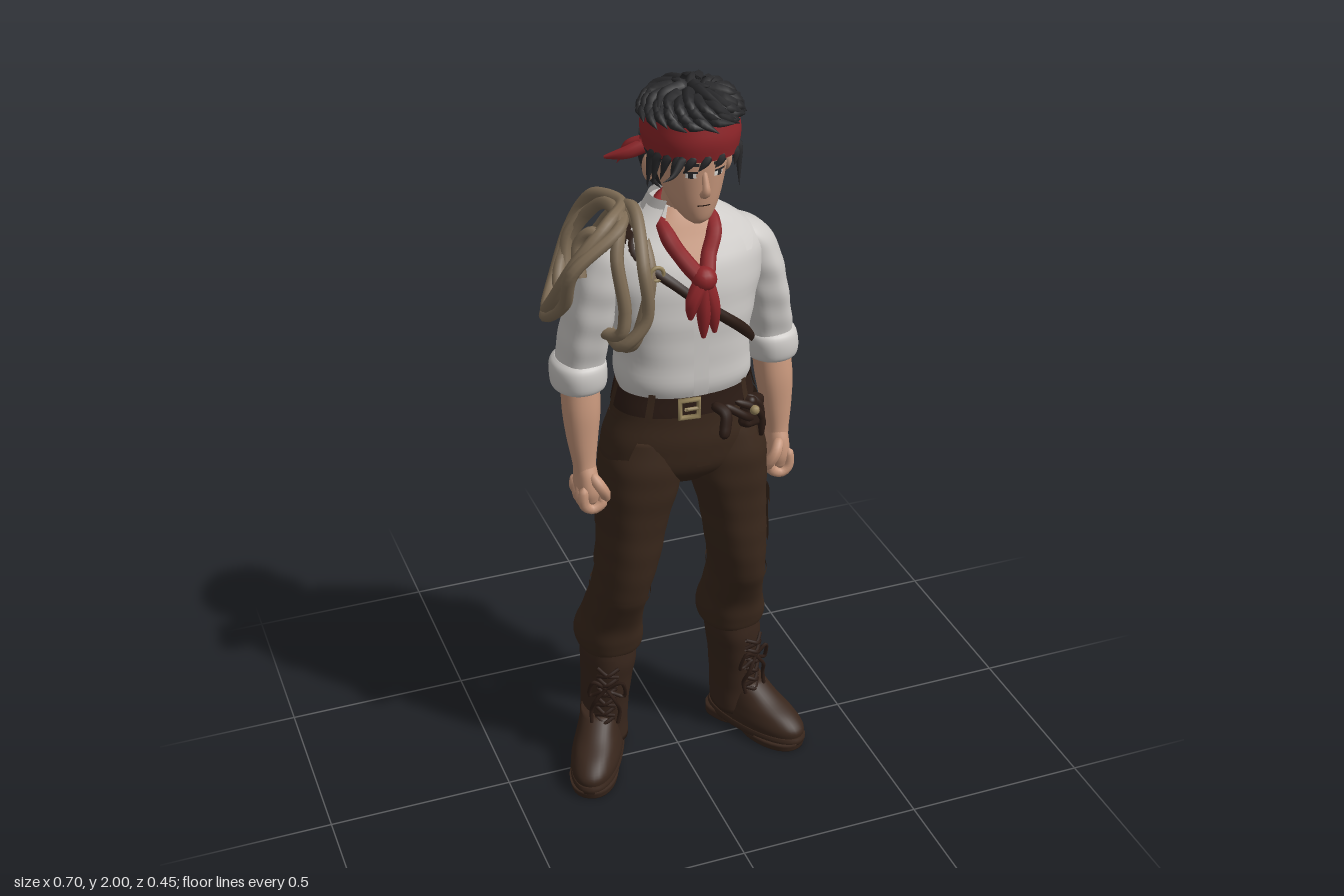
import * as THREE from 'three';
import { mergeVertices } from 'three/addons/utils/BufferGeometryUtils.js';
import { RoundedBoxGeometry } from 'three/addons/geometries/RoundedBoxGeometry.js';

const V = (x, y, z) => new THREE.Vector3(x, y, z);
const PI = Math.PI;
const mat = (name, color) => {
  const m = new THREE.MeshStandardMaterial({ color, side: THREE.DoubleSide });
  m.name = name;
  return m;
};
const spline = (pts, closed = false) => new THREE.CatmullRomCurve3(pts, closed, 'catmullrom');

function smooth(g) {
  g.deleteAttribute('uv');
  g.deleteAttribute('normal');
  g = mergeVertices(g, 1e-5);
  g.computeVertexNormals();
  return g;
}

// Smooth grid from f(u, v), u running to the right and v upwards
function grid(nu, nv, f) {
  const pos = [], idx = [];
  for (let j = 0; j <= nv; j++) for (let i = 0; i <= nu; i++) pos.push(...f(i / nu, j / nv).toArray());
  for (let j = 0; j < nv; j++) for (let i = 0; i < nu; i++) {
    const a = j * (nu + 1) + i, d = a + nu + 1;
    idx.push(a, a + 1, d, a + 1, d + 1, d);
  }
  const g = new THREE.BufferGeometry();
  g.setAttribute('position', new THREE.Float32BufferAttribute(pos, 3));
  g.setIndex(idx);
  return smooth(g);
}

// Body surface through rows [x, y, z, rx, rz], bottom to top; angle 0 = front, PI/2 = left
function surface(rows, fold = 0, e = 0.9) {
  const P = spline(rows.map(r => V(r[0], r[1], r[2]))), R = spline(rows.map(r => V(r[3], r[4], 0)));
  const pw = v => Math.sign(v) * Math.abs(v) ** e;
  const point = (t, a, lift = 0) => {
    const p = P.getPoint(t), r = R.getPoint(t);
    const k = 1 + fold * Math.sin(3 * a + p.y * 45) * Math.sin(2 * a - p.y * 31);
    return V(p.x + (r.x * k + lift) * pw(Math.sin(a)), p.y, p.z + (r.y * k + lift) * pw(Math.cos(a)));
  };
  const at = (y, a, lift = 0) => {
    let lo = 0, hi = 1;
    for (let i = 0; i < 22; i++) { const m = (lo + hi) / 2; if (P.getPoint(m).y < y) lo = m; else hi = m; }
    return point(lo, a, lift);
  };
  // Closed, capped solid
  const solid = (nu = 36, nv = 32) => grid(nu, nv + 2, (u, v) => {
    const j = Math.round(v * (nv + 2));
    if (j === 0) return P.getPoint(0);
    if (j === nv + 2) return P.getPoint(1);
    return point((j - 1) / nv, u >= 1 ? 0 : u * 2 * PI);
  });
  // Panel lying on the surface; angles may be functions of v
  const val = (f, v) => typeof f === 'function' ? f(v) : f;
  const panel = (y0, y1, a0, a1, lift, nu = 16, nv = 10) => grid(nu, nv, (u, v) =>
    at(y0 + (y1 - y0) * v, val(a0, v) + (val(a1, v) - val(a0, v)) * u, lift));
  return { at, solid, panel };
}

// Tube along points; taper(t) scales the radius
function tube(pts, r, { closed = false, taper = null, seg = 24, sides = 8 } = {}) {
  const path = spline(pts.map(p => Array.isArray(p) ? V(...p) : p), closed);
  const g = new THREE.TubeGeometry(path, seg, r, sides, closed);
  if (!taper) return g;
  const p = g.attributes.position, v = V(0, 0, 0);
  for (let i = 0; i < p.count; i++) {
    const t = Math.floor(i / (sides + 1)) / seg, c = path.getPointAt(t);
    v.fromBufferAttribute(p, i).sub(c).multiplyScalar(taper(t)).add(c);
    p.setXYZ(i, v.x, v.y, v.z);
  }
  return smooth(g);
}
const pointed = t => Math.max(0.01, 1 - t ** 1.6);
const round = t => Math.max(0.02, Math.sqrt(1 - Math.abs(2 * t - 1) ** 6));

export function createModel() {
  const M = {
    skin: mat('skin', 0xc6967b), shirt: mat('shirt cloth', 0xcdcac7), trousers: mat('trouser cloth', 0x3a281c),
    boot: mat('boot leather', 0x38261c), leather: mat('dark leather', 0x2c1c15), red: mat('red cloth', 0x8e2529),
    hair: mat('hair', 0x28282a), rope: mat('rope', 0x7f6d56), metal: mat('brass', 0x94825a), white: mat('eye white', 0xdedad4),
  };
  const model = new THREE.Group();
  const add = (name, geo, m, parent = model) => {
    const o = new THREE.Mesh(geo, m);
    o.name = name;
    parent.add(o);
    return o;
  };
  let seed = 7;
  const rnd = () => (seed = (seed * 16807) % 2147483647) / 2147483647;

  // Shirt body, open neck and collar
  const torso = surface([[0, 1.185, .03, .16, .113], [0, 1.235, .03, .176, .128], [0, 1.32, .027, .172, .13], [0, 1.42, .022, .19, .135],
    [0, 1.52, .014, .212, .13], [0, 1.58, .004, .205, .112], [0, 1.625, 0, .155, .093], [0, 1.66, 0, .1, .075], [0, 1.685, 0, .07, .06]], .012, .86);
  add('shirt', torso.solid(56, 44), M.shirt);
  add('chest', torso.panel(1.53, 1.684, v => -.02 - .6 * v, v => .04 + .6 * v, .003), M.skin);
  add('placket', torso.panel(1.2, 1.5, -.07, .09, .004), M.shirt);
  for (const s of [-1, 1]) add('collarFlap', torso.panel(1.565, 1.69, v => s * (.6 + .1 * v), v => s * (.7 + .8 * v), .012), M.shirt);
  const collar = surface([[0, 1.63, -.005, .118, .085], [0, 1.665, .002, .094, .073], [0, 1.705, .012, .076, .066]]);
  add('collar', collar.panel(1.632, 1.704, .7, 2 * PI - .7, 0, 30), M.shirt);
  add('neck', surface([[0, 1.6, 0, .055, .055], [.002, 1.66, .015, .051, .053], [.004, 1.74, .04, .05, .055]]).solid(), M.skin);

  // Neckerchief
  const knot = torso.at(1.53, .02, .018);
  add('neckerchief', tube([[0, 1.68, -.035], [.056, 1.665, .01], [.06, 1.625, .085], [.034, 1.575, .12], knot, [-.034, 1.575, .12],
    [-.06, 1.625, .085], [-.056, 1.665, .01]], .021, { closed: true, seg: 60 }), M.red);
  add('neckerchiefKnot', new THREE.SphereGeometry(.032, 14, 10), M.red).position.copy(knot);
  for (const [x, y] of [[-.03, 1.43], [.034, 1.385], [.005, 1.375]])
    add('neckerchiefTail', tube([knot, [x * .8, (y + 1.53) / 2, .168], [x, y, .166]], .022, { taper: t => 1 - .75 * t ** 3 }), M.red);

  // Shoulder strap running round the body
  const strap = [[-1, 1.625], [-.3, 1.53], [.25, 1.42], [1.1, 1.32], [1.7, 1.3], [2.2, 1.35], [2.9, 1.47], [3.6, 1.575], [4.4, 1.637], [2 * PI - 1, 1.625]];
  const strapPath = spline(strap.map(([a, y]) => V(a, y, 0)));
  add('shoulderStrap', grid(90, 4, (u, v) => {
    const p = strapPath.getPoint(u);
    return torso.at(p.y + (v - .5) * .034, p.x, .006 + .008 * Math.sin(v * PI));
  }), M.leather);
  const ring = add('strapRing', new THREE.TorusGeometry(.017, .005, 8, 16), M.metal);
  ring.position.copy(torso.at(1.55, -.42, .014));

  // Rope coils over the right shoulder
  const coilA = [[-.13, 1.665, -.05], [-.165, 1.645, -.17], [-.21, 1.55, -.215], [-.27, 1.43, -.175], [-.32, 1.4, -.08], [-.325, 1.46, 0], [-.285, 1.57, .055], [-.2, 1.655, .045]];
  const coilB = [[-.125, 1.66, 0], [-.115, 1.56, .115], [-.14, 1.43, .13], [-.17, 1.35, .1], [-.19, 1.36, -.05], [-.18, 1.48, -.15], [-.15, 1.61, -.1]];
  const coilC = [[-.16, 1.66, .02], [-.19, 1.58, .09], [-.18, 1.45, .115], [-.2, 1.38, .09], [-.27, 1.4, -.1], [-.23, 1.5, -.2], [-.16, 1.63, -.14]];
  const shift = (c, x, y, z) => c.map((p, i) => [p[0] + x * (i % 2 ? 1 : -.4), p[1] + y, p[2] + z]);
  for (const c of [coilA, shift(coilA, .022, -.012, .016), coilB, shift(coilB, -.02, .01, .01), coilC])
    add('ropeCoil', tube(c, .0165, { closed: true, seg: 80 }), M.rope);
  add('ropeWrap', tube([[-.2, 1.61, .07], [-.235, 1.64, .04], [-.265, 1.6, .02], [-.27, 1.53, .05]], .016), M.rope);

  // Head and face
  const head = surface([[.004, 1.667, .125, .014, .012], [.005, 1.682, .108, .036, .044], [.005, 1.72, .086, .06, .075], [.006, 1.77, .068, .077, .098],
    [.007, 1.83, .06, .088, .11], [.007, 1.9, .06, .095, .112], [.007, 1.95, .06, .07, .08]], 0, .95);
  add('head', head.solid(40, 36), M.skin);
  add('nose', tube([[.005, 1.82, .158], [.005, 1.785, .172], [.005, 1.762, .177], [.005, 1.752, .16]], .0125, { taper: t => .45 + .55 * t }), M.skin);
  add('mouth', head.panel(1.722, 1.725, -.24, .24, .002, 10, 2), M.leather);
  for (const s of [-1, 1]) {
    const eyeLine = v => .012 * Math.sin(v * PI);
    add('eye', head.panel(1.797, 1.811, v => s * .25 - eyeLine(v), v => s * .56 + eyeLine(v), .002, 8, 4), M.white);
    add('iris', head.panel(1.797, 1.812, s * .34, s * .48, .004, 6, 4), M.hair);
    add('upperLid', head.panel(1.81, 1.815, s * .22, s * .6, .005, 8, 2), M.hair);
    add('brow', head.panel(1.828, 1.836, s * .18, s * .66, .005, 8, 2), M.hair);
    const ear = add('ear', new THREE.SphereGeometry(1, 12, 10), M.skin);
    ear.scale.set(.014, .034, .022);
    ear.position.set(.007 + s * .1, 1.79, .045);
  }

  // Headband with its knotted tails
  const band = surface([[.008, 1.84, .062, .11, .12], [.008, 1.885, .061, .117, .129], [.008, 1.93, .06, .112, .124]]);
  add('headband', band.panel(1.841, 1.929, 0, 2 * PI, 0, 48, 8), M.red);
  add('headbandTail', tube([[-.1, 1.84, .03], [-.14, 1.825, .022], [-.188, 1.812, 0]], .019, { taper: t => 1 - .8 * t * t }), M.red);
  add('headbandTail', tube([[-.1, 1.85, .025], [-.13, 1.835, .005], [-.155, 1.79, -.005]], .016, { taper: pointed }), M.red);

  // Hair: domed crown with swept locks, nape and fringe
  const crown = surface([[.01, 1.9, .058, .106, .118], [.011, 1.925, .057, .106, .117], [.013, 1.95, .054, .092, .102], [.015, 1.97, .05, .066, .074],
    [.016, 1.982, .046, .036, .04], [.016, 1.985, .045, .008, .008]], .02, 1);
  add('crownHair', crown.solid(40, 24), M.hair);
  for (let i = 0; i < 64; i++) {
    const a = i * 2.4, y = 1.984 - .05 * (i / 63) ** .8, d = .03 + .016 * rnd();
    const mid = crown.at(y - d * .4, a + .12, .01), tip = crown.at(Math.max(1.915, y - d), a + .42, .012 + .016 * rnd());
    mid.y = Math.min(mid.y + .01, 1.988);
    tip.y += .014 * rnd();
    add('crownLock', tube([crown.at(y, a, -.012), mid, tip], .018, { taper: pointed, seg: 8, sides: 6 }), M.hair);
  }
  for (const [x, z, dx, dz] of [[.02, .03, .02, -.03], [.04, .06, .035, -.01], [0, .05, -.03, -.02], [.01, .08, .03, .03]])
    add('crownTuft', tube([[x, 1.965, z], [x + dx * .3, 1.99, z + dz * .3], [x + dx, 1.997, z + dz]], .017, { taper: pointed, seg: 8, sides: 6 }), M.hair);
  const nape = surface([[.005, 1.715, 0, .045, .04], [.006, 1.74, 0, .07, .056], [.007, 1.79, .004, .091, .072], [.008, 1.86, .008, .104, .08]], .03);
  add('napeHair', nape.solid(40, 16), M.hair);
  for (let i = 0; i < 34; i++) {
    const a = 1.35 + (2 * PI - 2.7) * ((i * .618) % 1), y = 1.775 + .065 * rnd();
    add('napeLock', tube([nape.at(y, a, -.01), nape.at(y - .03, a, .004), nape.at(Math.max(1.716, y - .07), a + .12, .01)], .013, { taper: pointed, seg: 7, sides: 6 }), M.hair);
  }
  for (const [a, l] of [[-1.3, .1], [-1.1, .085], [-.85, .06], [-.6, .055], [-.3, .035], [0, .03], [.3, .025], [.85, .035], [1.15, .07], [1.35, .11]])
    add('fringeLock', tube([band.at(1.85, a, -.008), band.at(1.85 - l * .5, a - .06, .002), band.at(1.842, a - .2, .004).setY(1.85 - l)], .012, { taper: pointed, seg: 8, sides: 6 }), M.hair);
  add('fringeWisp', tube([[-.05, 1.85, .165], [-.08, 1.82, .185], [-.11, 1.81, .193]], .011, { taper: pointed, seg: 8 }), M.hair);

  // Trouser seat, belt and buckle
  const hips = surface([[0, .925, .032, .06, .06], [0, .975, .032, .185, .108], [0, 1.05, .03, .205, .125], [0, 1.14, .03, .182, .122], [0, 1.225, .03, .162, .12]], .008);
  add('trouserSeat', hips.solid(48, 28), M.trousers);
  add('belt', hips.panel(1.155, 1.21, 0, 2 * PI, .009, 48, 6), M.leather);
  for (const a of [-.7, .75, 1.5, 2.5, PI, 3.8, 4.75]) add('beltLoop', hips.panel(1.145, 1.222, a - .06, a + .06, .015, 3, 4), M.trousers);
  add('fly', hips.panel(1, 1.15, -.02, .12, .005), M.trousers);
  const buckle = add('buckle', new THREE.TorusGeometry(.034, .008, 8, 4), M.metal);
  buckle.geometry.rotateZ(PI / 4);
  buckle.position.copy(hips.at(1.183, -.14, .017));
  buckle.rotation.y = -.1;
  add('bucklePin', tube([[-.045, 1.183, .17], [-.005, 1.183, .172]], .005, { seg: 4 }), M.metal);
  add('beltEnd', tube([[.03, 1.18, .16], [.055, 1.165, .19], [.05, 1.13, .205], [.04, 1.105, .215]], .015, { taper: round }), M.leather);

  // Small tied pouch at the left front
  const frontPouch = add('frontPouch', new RoundedBoxGeometry(.075, .085, .04, 4, .015), M.leather);
  frontPouch.position.copy(hips.at(1.12, .85, .012));
  frontPouch.rotation.set(0, .7, -.3);
  for (const [a0, a1, y1] of [[.3, .8, 1.1], [.5, 1.1, 1.05], [.8, 1, 1.03]])
    add('pouchTie', tube([hips.at(1.17, a0, .014), hips.at(1.13, (a0 + a1) / 2, .032), hips.at(y1, a1, .016)], .011, { taper: round }), M.leather);
  add('pouchButton', new THREE.SphereGeometry(.013, 10, 8), M.metal).position.set(.148, 1.14, .16);

  // Red pouch hanging at the back
  const pouch = new THREE.Group();
  pouch.name = 'backPouch';
  pouch.position.set(.06, 1.122, -.138);
  pouch.rotation.set(.2, .12, .14);
  model.add(pouch);
  add('pouchBody', new RoundedBoxGeometry(.122, .185, .058, 4, .026), M.leather, pouch);
  add('pouchFlap', new RoundedBoxGeometry(.094, .172, .07, 4, .026), M.red, pouch);
  for (const x of [-.055, .055]) for (const y of [-.06, .065]) {
    const c = add('pouchClasp', new THREE.TorusGeometry(.013, .005, 8, 14), M.metal, pouch);
    c.position.set(x, y, -.029);
  }

  for (const s of [-1, 1]) {
    const side = rows => rows.map(r => [s * r[0], ...r.slice(1)]);
    const limb = (rows, fold) => surface(side(rows), fold);
    const pts = list => list.map(p => [s * p[0], p[1], p[2]]);

    // Sleeve, rolled cuff and forearm
    add('sleeve', limb([[.256, 1.24, -.02, .06, .068], [.252, 1.3, -.018, .062, .072], [.24, 1.37, -.01, .062, .078], [.222, 1.45, -.004, .063, .081],
      [.198, 1.53, -.002, .062, .08], [.172, 1.585, 0, .052, .062], [.145, 1.615, 0, .022, .03]], .035).solid(36, 40), M.shirt);
    add('cuff', limb([[.262, 1.198, -.022, .05, .06], [.262, 1.208, -.022, .067, .08], [.261, 1.24, -.022, .071, .085], [.259, 1.27, -.022, .069, .082], [.258, 1.285, -.022, .056, .066]], .02).solid(36, 16), M.shirt);
    add('forearm', limb([[.26, 1.23, -.01, .048, .055], [.264, 1.15, .006, .048, .054], [.267, 1.07, .018, .039, .046], [.267, 1, .03, .029, .037], [.264, .96, .035, .03, .044]]).solid(28, 20), M.skin);

    // Closed hand
    add('palm', limb([[.262, .9, .036, .026, .042], [.264, .935, .036, .032, .05], [.265, .975, .034, .029, .045], [.266, 1.005, .03, .026, .035]]).solid(24, 14), M.skin);
    for (let i = 0; i < 4; i++) {
      const z = .075 - i * .025, y = i === 3 ? .01 : 0;
      add('finger', tube(pts([[.284, .955, z], [.284, .905 + y, z], [.262, .886 + y, z], [.235, .9 + y, z], [.236, .925, z]]), .0145, { taper: round, seg: 16 }), M.skin);
    }
    add('thumb', tube(pts([[.262, .985, .06], [.243, .955, .085], [.228, .925, .08], [.224, .9, .062]]), .0155, { taper: round, seg: 14 }), M.skin);

    // Trouser leg with pockets and knee seam
    const leg = limb([[.18, .36, -.064, .074, .088], [.18, .375, -.065, .088, .1], [.18, .41, -.064, .092, .106], [.176, .48, -.04, .08, .098], [.168, .58, .004, .073, .1],
      [.152, .7, .03, .081, .096], [.138, .82, .035, .089, .1], [.121, .93, .034, .106, .113], [.112, 1.01, .032, .108, .116], [.1, 1.08, .03, .09, .105]], .014);
    add('trouserLeg', leg.solid(40, 60), M.trousers);
    add('cargoPocket', leg.panel(.67, .84, s * 1.05, s * 2.2, .005), M.trousers);
    add('cargoFlap', leg.panel(.8, .85, s * 1, s * 2.25, .009), M.trousers);
    add('hipPocket', hips.panel(.99, 1.14, v => s * (1 - .3 * v), v => s * (1.75 - .1 * v), .014), M.trousers);
    add('seatPocket', hips.panel(1, 1.11, s * 2.15, s * 2.75, .008), M.trousers);
    add('kneeSeam', leg.panel(.575, .59, 0, 2 * PI, .004, 36, 3), M.trousers);

    // Boot shaft and foot, toes turned out
    const shaft = limb([[.197, .06, -.068, .064, .082], [.195, .15, -.07, .063, .083], [.19, .25, -.065, .067, .088], [.185, .33, -.06, .074, .094], [.183, .39, -.06, .074, .092]], .012);
    add('bootShaft', shaft.solid(36, 24), M.boot);
    const foot = new THREE.Group();
    foot.name = 'foot';
    foot.position.set(s * .24, 0, 0);
    foot.rotation.y = s * .47;
    model.add(foot);
    add('footUpper', surface([[0, .03, 0, .067, .163], [0, .06, .002, .069, .162], [0, .09, -.012, .063, .142], [0, .12, -.04, .057, .107], [0, .16, -.07, .052, .075]]).solid(36, 20), M.boot, foot);
    add('welt', surface([[0, .018, 0, .068, .167], [0, .03, 0, .071, .17], [0, .042, 0, .068, .166]]).solid(36, 6), M.boot, foot);
    add('heel', surface([[0, 0, -.105, .058, .06], [0, .03, -.105, .058, .062]], 0, .7).solid(24, 3), M.boot, foot);
    add('sole', surface([[0, 0, .06, .064, .102], [0, .025, .06, .068, .108]]).solid(28, 3), M.boot, foot);

    // Laces and bow
    const lace = (list, r = .0055) => add('lace', tube(list.map(([y, a, l]) => shaft.at(y, s * a, l)), r, { seg: 14, sides: 6 }), M.leather);
    add('bootTongue', shaft.panel(.11, .36, s * .12, s * .62, .004), M.boot);
    for (let y = .13; y < .34; y += .035) {
      lace([[y, .02, .006], [y + .015, .37, .014], [y + .03, .72, .006]]);
      lace([[y + .03, .02, .006], [y + .015, .37, .016], [y, .72, .006]]);
    }
    for (const d of [-1, 1]) {
      lace([[.27, .37, .012], [.295, .37 + d * .4, .024], [.24, .37 + d * .55, .02], [.26, .37 + d * .15, .014]]);
      lace([[.27, .37, .012], [.23, .37 + d * .3, .024], [.19, .37 + d * .45, .02], [.15, .37 + d * .4, .024]]);
    }
  }
  return model;
}
